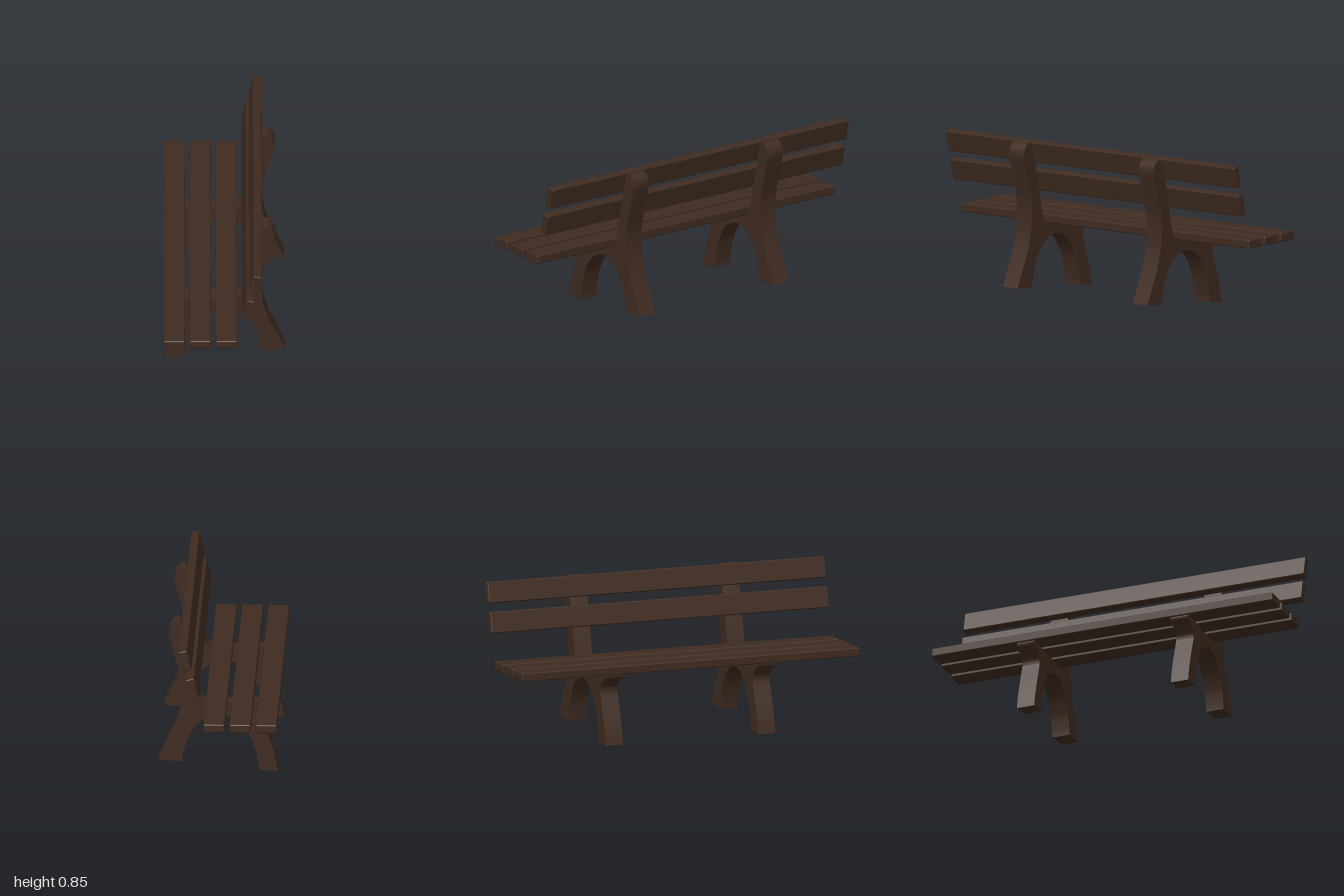
import * as THREE from 'three';
import { toCreasedNormals } from 'three/addons/utils/BufferGeometryUtils.js';
import { RoundedBoxGeometry } from 'three/addons/geometries/RoundedBoxGeometry.js';

const wood = new THREE.MeshStandardMaterial({ color: 0x3f2b20 });
const LENGTH = 1.96;
const LEG_WIDTH = 0.1;

function addMesh(parent, name, geometry) {
  const mesh = new THREE.Mesh(geometry, wood);
  mesh.name = name;
  parent.add(mesh);
  return mesh;
}

// Side profile of a cast leg: seat support, back post and arch in one piece
function legGeometry() {
  const s = new THREE.Shape();
  const spline = (...pts) => s.splineThru(pts.map(([x, y]) => new THREE.Vector2(x, y)));
  // front foot, up the front edge
  s.moveTo(-0.288, 0.002);
  spline([-0.275, 0.07], [-0.252, 0.15], [-0.214, 0.265]);
  spline([-0.21, 0.285], [-0.215, 0.31], [-0.243, 0.343]);
  s.lineTo(-0.278, 0.361);
  s.quadraticCurveTo(-0.29, 0.37, -0.288, 0.386);
  // seat bearing surface and inner corner
  s.lineTo(0.09, 0.386);
  s.bezierCurveTo(0.118, 0.389, 0.132, 0.408, 0.137, 0.433);
  // back post with rounded top
  s.lineTo(0.222, 0.818);
  s.bezierCurveTo(0.23, 0.838, 0.246, 0.844, 0.264, 0.838);
  s.bezierCurveTo(0.292, 0.822, 0.304, 0.792, 0.296, 0.758);
  spline([0.244, 0.57], [0.231, 0.5], [0.229, 0.45], [0.234, 0.38], [0.246, 0.32], [0.268, 0.25]);
  s.lineTo(0.353, 0.063);
  // rear foot and arch
  s.lineTo(0.228, 0.052);
  spline([0.222, 0.09], [0.203, 0.165], [0.168, 0.235], [0.128, 0.28], [0.07, 0.313], [0.027, 0.32],
    [-0.013, 0.313], [-0.063, 0.29], [-0.103, 0.255], [-0.143, 0.19], [-0.164, 0.13], [-0.18, 0.05], [-0.183, 0.011]);
  s.closePath();
  const geo = new THREE.ExtrudeGeometry(s, { depth: LEG_WIDTH, bevelEnabled: false, curveSegments: 6 });
  geo.translate(0, 0, -LEG_WIDTH / 2);
  return toCreasedNormals(geo, 0.5);
}

export function createModel() {
  const model = new THREE.Group();
  model.name = 'parkBench';

  // The bench stands slightly turned, its seat facing -x
  const bench = new THREE.Group();
  bench.name = 'bench';
  bench.rotation.y = -0.097;
  model.add(bench);

  // Two legs
  const leg = legGeometry();
  for (const [name, z] of [['nearLeg', 0.442], ['farLeg', -0.442]]) {
    addMesh(bench, name, leg).position.z = z;
  }

  // Three seat slats
  const seatSlat = new RoundedBoxGeometry(0.113, 0.048, LENGTH, 2, 0.007);
  for (let i = 0; i < 3; i++) {
    addMesh(bench, `seatSlat${i + 1}`, seatSlat).position.set(-0.24 + 0.14 * i, 0.409, 0);
  }

  // Two back slats, leaning with the posts
  const backSlat = new RoundedBoxGeometry(0.046, 0.115, LENGTH, 2, 0.006);
  for (const [name, x, y] of [['lowerBackSlat', 0.156, 0.631], ['upperBackSlat', 0.194, 0.788]]) {
    const slat = addMesh(bench, name, backSlat);
    slat.position.set(x, y, 0);
    slat.rotation.z = -0.23;
  }
  return model;
}
